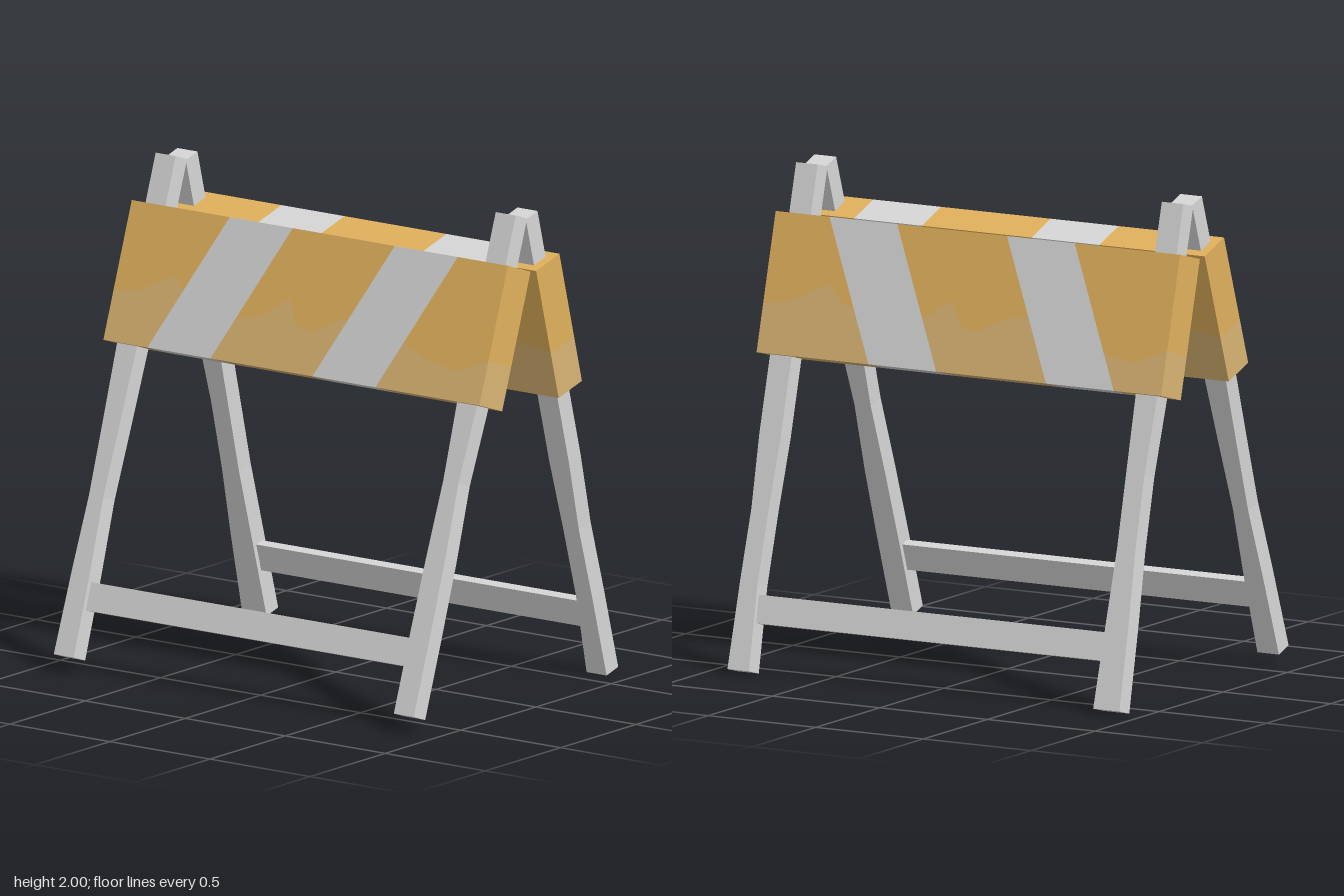
import * as THREE from 'three';

const mat = (name, color) => {
  const m = new THREE.MeshStandardMaterial({ color, flatShading: true });
  m.name = name;
  return m;
};

const LEG = 2.045, BOARD_Y = 1.27, BOARD_H = 0.57, HALF = 0.94, THICK = 0.16, SLANT = 0.27;

// Upper limit of the faded paint along the board, as x, height
const FADE = [[-0.94, 0.2], [-0.82, 0.22], [-0.65, 0.3], [-0.58, 0.23], [-0.36, 0.17], [-0.2, 0.2], [-0.08, 0.29],
  [-0.02, 0.19], [0.05, 0.17], [0.18, 0.24], [0.3, 0.26], [0.5, 0.2], [0.65, 0.14], [0.8, 0.12], [0.94, 0.18]];

function fadeHeight(x) {
  for (let i = 1; i < FADE.length; i++) {
    const [x0, y0] = FADE[i - 1], [x1, y1] = FADE[i];
    if (x <= x1) return y0 + (y1 - y0) * Math.max(0, (x - x0) / (x1 - x0));
  }
  return FADE[FADE.length - 1][1];
}

// Leg sections: height, outer x, inner x
const LEGS = {
  front: {
    left: [[0, 0.9, 0.8], [0.35, 0.9, 0.8], [0.65, 0.897, 0.803], [0.95, 0.886, 0.81], [1.27, 0.9, 0.8], [LEG, 0.9, 0.8]],
    right: [[0, 0.9, 0.8], [0.35, 0.895, 0.805], [0.65, 0.886, 0.815], [0.95, 0.892, 0.807], [1.27, 0.9, 0.8], [LEG, 0.9, 0.8]],
  },
  back: {
    left: [[0, 0.9, 0.8], [0.35, 0.897, 0.815], [0.65, 0.89, 0.81], [0.95, 0.9, 0.8], [1.27, 0.9, 0.8], [LEG, 0.9, 0.8]],
    right: [[0, 0.922, 0.8], [0.35, 0.91, 0.805], [0.65, 0.895, 0.81], [0.95, 0.89, 0.805], [1.27, 0.9, 0.8], [LEG, 0.9, 0.8]],
  },
};

// Box beam whose sides follow the sections
function legGeometry(sections, side) {
  const n = sections.length - 1;
  const g = new THREE.BoxGeometry(1, 1, 0.08, 1, n, 1);
  const p = g.attributes.position;
  for (let i = 0; i < p.count; i++) {
    const [y, outer, inner] = sections[Math.round((p.getY(i) + 0.5) * n)];
    p.setX(i, side * (p.getX(i) * side > 0 ? outer : inner));
    p.setY(i, y);
  }
  g.computeVertexNormals();
  return g;
}

function createFrame(name, mats, mirrorFade) {
  const frame = new THREE.Group();
  frame.name = name + 'Frame';
  const add = (geometry, material, part) => {
    const mesh = new THREE.Mesh(geometry, material);
    mesh.name = part;
    frame.add(mesh);
    return mesh;
  };

  // Legs and lower rail
  add(legGeometry(LEGS[name].left, 1), mats.grey, name + 'LeftLeg');
  add(legGeometry(LEGS[name].right, -1), mats.grey, name + 'RightLeg');
  add(new THREE.BoxGeometry(1.63, 0.115, 0.04), mats.grey, name + 'Rail').position.y = 0.253;

  // Board: slanted pieces through the full thickness
  const piece = (points, material, part) => {
    const shape = new THREE.Shape(points.map(([x, y]) => new THREE.Vector2(x, y)));
    const g = new THREE.ExtrudeGeometry(shape, { depth: THICK, bevelEnabled: false });
    g.translate(0, BOARD_Y, -THICK / 2);
    add(g, material, part);
  };
  const fade = (x) => fadeHeight(mirrorFade ? -x : x);
  const slanted = (top) => (y) => top - SLANT * (1 - y / BOARD_H);
  const edges = [() => -HALF, ...[-0.45, -0.135, 0.375, 0.69].map(slanted), () => HALF];

  for (let i = 0; i < 5; i++) {
    const a = edges[i], b = edges[i + 1];
    const low = [[a(0), 0], [b(0), 0]], high = [[b(BOARD_H), BOARD_H], [a(BOARD_H), BOARD_H]];
    if (i % 2) {
      piece([...low, ...high], mats.grey, name + 'Stripe' + (i + 1) / 2);
      continue;
    }
    // Where the fade line meets each slanted edge
    const meet = (edge) => {
      let y = 0.2;
      for (let k = 0; k < 60; k++) y = (y + fade(edge(y))) / 2;
      return [edge(y), y];
    };
    const start = meet(a), end = meet(b);
    const inner = FADE.map(([x]) => (mirrorFade ? -x : x)).sort((p, q) => p - q)
      .filter((x) => x > start[0] + 0.01 && x < end[0] - 0.01).map((x) => [x, fade(x)]);
    const line = [start, ...inner, end];
    piece([...line, ...high], mats.orange, name + 'BoardPanel' + (i / 2 + 1));
    piece([...low, ...line.slice().reverse()], mats.faded, name + 'BoardFadedPanel' + (i / 2 + 1));
  }
  return frame;
}

export function createModel() {
  const mats = {
    grey: mat('lightGrey', 0xd6d6d6),
    orange: mat('orangePaint', 0xe0b05c),
    faded: mat('fadedOrangePaint', 0xdab473),
  };
  const model = new THREE.Group();
  model.name = 'foldingBarricade';

  // Two frames leaning together
  const front = createFrame('front', mats, false);
  front.position.set(0, 0.06, 0.64);
  front.rotation.x = -0.337;
  const back = createFrame('back', mats, true);
  back.position.set(0, 0.0105, -0.64);
  back.rotation.x = 0.265;
  model.add(front, back);
  return model;
}
